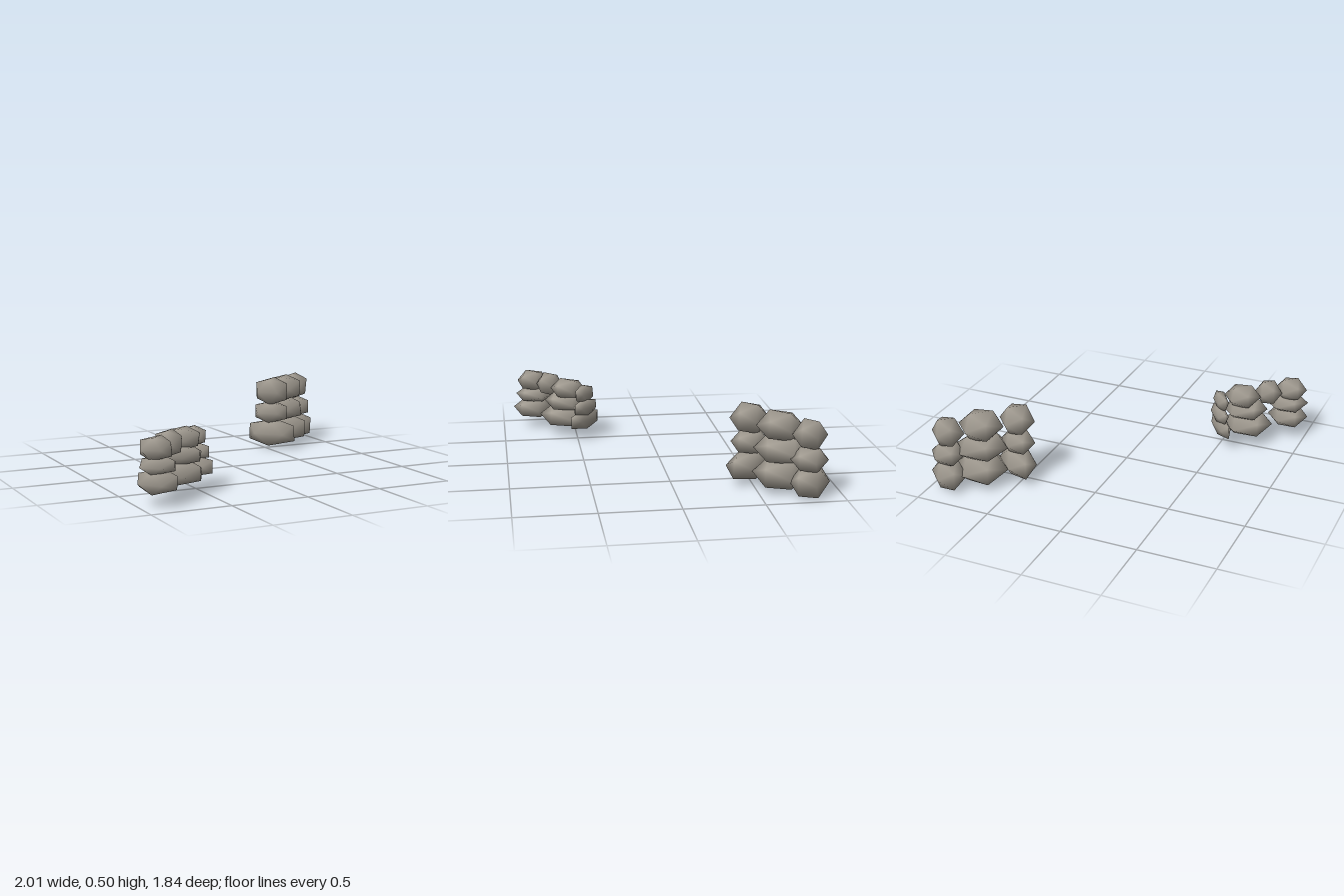
import * as THREE from 'three';
import { mergeVertices } from 'three/addons/utils/BufferGeometryUtils.js';

// each stone: x, z, bottom y, top y, half length along the wall, half depth across it
const LARGE_WALL = {
  bottomRow: [
    [0.55, -0.49, 0.02, 0.2, 0.1, 0.17],
    [0.73, -0.65, 0.015, 0.2, 0.15, 0.165],
    [0.89, -0.79, 0.0, 0.19, 0.095, 0.135],
  ],
  middleRow: [
    [0.545, -0.495, 0.185, 0.33, 0.095, 0.12],
    [0.73, -0.65, 0.175, 0.335, 0.155, 0.14],
    [0.895, -0.785, 0.165, 0.31, 0.095, 0.11],
  ],
  topRow: [
    [0.545, -0.49, 0.315, 0.5, 0.1, 0.115],
    [0.72, -0.645, 0.315, 0.49, 0.125, 0.13],
    [0.88, -0.785, 0.3, 0.48, 0.09, 0.105],
  ],
};
const SMALL_WALL = {
  bottomRow: [
    [-0.87, 0.785, 0.07, 0.2, 0.12, 0.125],
    [-0.65, 0.58, 0.062, 0.2, 0.155, 0.145],
    [-0.5, 0.45, 0.07, 0.2, 0.038, 0.135],
  ],
  middleRow: [
    [-0.865, 0.78, 0.185, 0.28, 0.125, 0.11],
    [-0.63, 0.57, 0.18, 0.295, 0.135, 0.125],
    [-0.49, 0.445, 0.17, 0.28, 0.038, 0.105],
  ],
  topRow: [
    [-0.88, 0.79, 0.265, 0.4, 0.09, 0.1],
    [-0.755, 0.68, 0.255, 0.41, 0.078, 0.085],
    [-0.61, 0.555, 0.265, 0.395, 0.11, 0.11],
    [-0.495, 0.45, 0.26, 0.38, 0.036, 0.085],
  ],
};

let seed = 7;
function random() {
  seed = (seed * 16807) % 2147483647;
  return seed / 2147483647 - 0.5;
}

// twenty-sided stone with slightly uneven corners and smooth normals
function stoneGeometry(halfLength, halfHeight, halfDepth) {
  let geometry = new THREE.IcosahedronGeometry(1, 0);
  geometry.deleteAttribute('normal');
  geometry.deleteAttribute('uv');
  geometry = mergeVertices(geometry, 0.001);
  const p = geometry.attributes.position;
  const v = new THREE.Vector3();
  for (let i = 0; i < p.count; i++) {
    v.fromBufferAttribute(p, i);
    v.x += random() * 0.1;
    v.z += random() * 0.1;
    p.setXYZ(i, v.x, v.y, v.z);
  }
  // stretch the uneven shape to the wanted size
  geometry.center();
  geometry.computeBoundingBox();
  const { max } = geometry.boundingBox;
  geometry.scale(halfLength / max.x, halfHeight / max.y, halfDepth / max.z);
  geometry.computeVertexNormals();
  return geometry;
}

function buildWall(name, rows, material) {
  const wall = new THREE.Group();
  wall.name = name;
  for (const [rowName, stones] of Object.entries(rows)) {
    const row = new THREE.Group();
    row.name = rowName;
    for (const [x, z, low, high, halfLength, halfDepth] of stones) {
      const stone = new THREE.Mesh(stoneGeometry(halfLength, (high - low) / 2, halfDepth), material);
      stone.name = 'stone';
      stone.position.set(x, (low + high) / 2, z);
      stone.rotation.y = 0.75 + random() * 0.06;
      row.add(stone);
    }
    wall.add(row);
  }
  return wall;
}

export function createModel() {
  seed = 7;
  const stoneGrey = new THREE.MeshStandardMaterial({ color: 0xa09a90 });
  stoneGrey.name = 'stoneGrey';
  const model = new THREE.Group();
  model.name = 'stoneWalls';
  model.add(buildWall('largeWall', LARGE_WALL, stoneGrey));
  model.add(buildWall('smallWall', SMALL_WALL, stoneGrey));
  return model;
}
